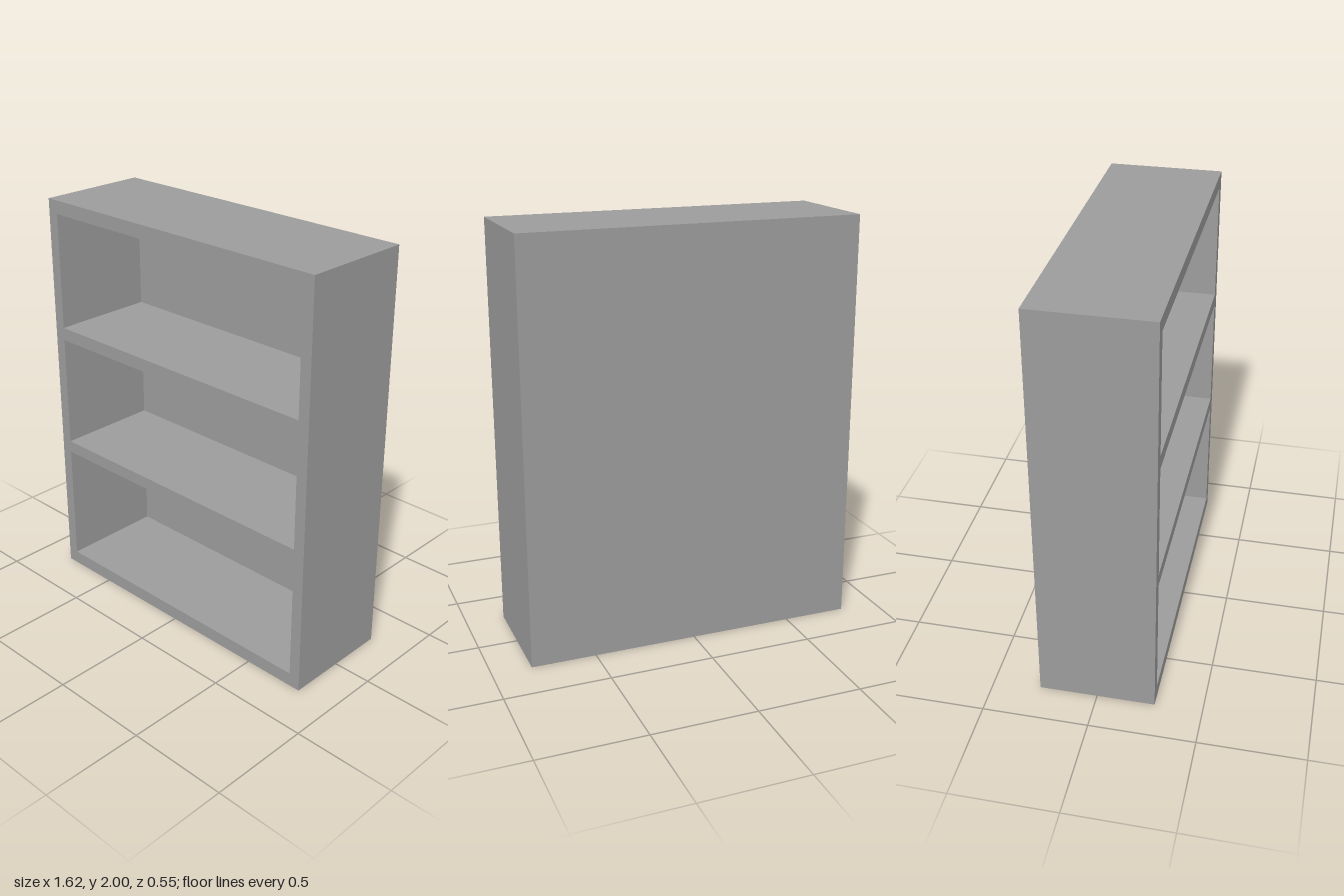
import * as THREE from 'three';

const WIDTH = 1.624, HEIGHT = 2, DEPTH = 0.55, BACK = 0.03;
const INNER = 0.756; // half width of the openings
const OPENINGS = [[0.067, 0.674], [0.735, 1.296], [1.36, 1.934]]; // bottom, top

// Rectangle outline, counter-clockwise
function rectangle(Type, halfWidth, y0, y1) {
  return new Type([
    new THREE.Vector2(-halfWidth, y0), new THREE.Vector2(halfWidth, y0),
    new THREE.Vector2(halfWidth, y1), new THREE.Vector2(-halfWidth, y1),
  ]);
}

export function createModel() {
  const group = new THREE.Group();
  group.name = 'bookcase';
  const material = new THREE.MeshStandardMaterial({ color: 0x9c9c9c });

  // Sides, top, base and shelves as one frame with three openings
  const outline = rectangle(THREE.Shape, WIDTH / 2, 0, HEIGHT);
  for (const [y0, y1] of OPENINGS) outline.holes.push(rectangle(THREE.Path, INNER, y0, y1));
  const frame = new THREE.Mesh(
    new THREE.ExtrudeGeometry(outline, { depth: DEPTH - BACK, bevelEnabled: false }), material);
  frame.name = 'shelfFrame';
  frame.position.z = -DEPTH / 2 + BACK;

  // Thin panel closing the rear
  const back = new THREE.Mesh(new THREE.BoxGeometry(WIDTH, HEIGHT, BACK), material);
  back.name = 'backPanel';
  back.position.set(0, HEIGHT / 2, -DEPTH / 2 + BACK / 2);

  group.add(frame, back);
  return group;
}
